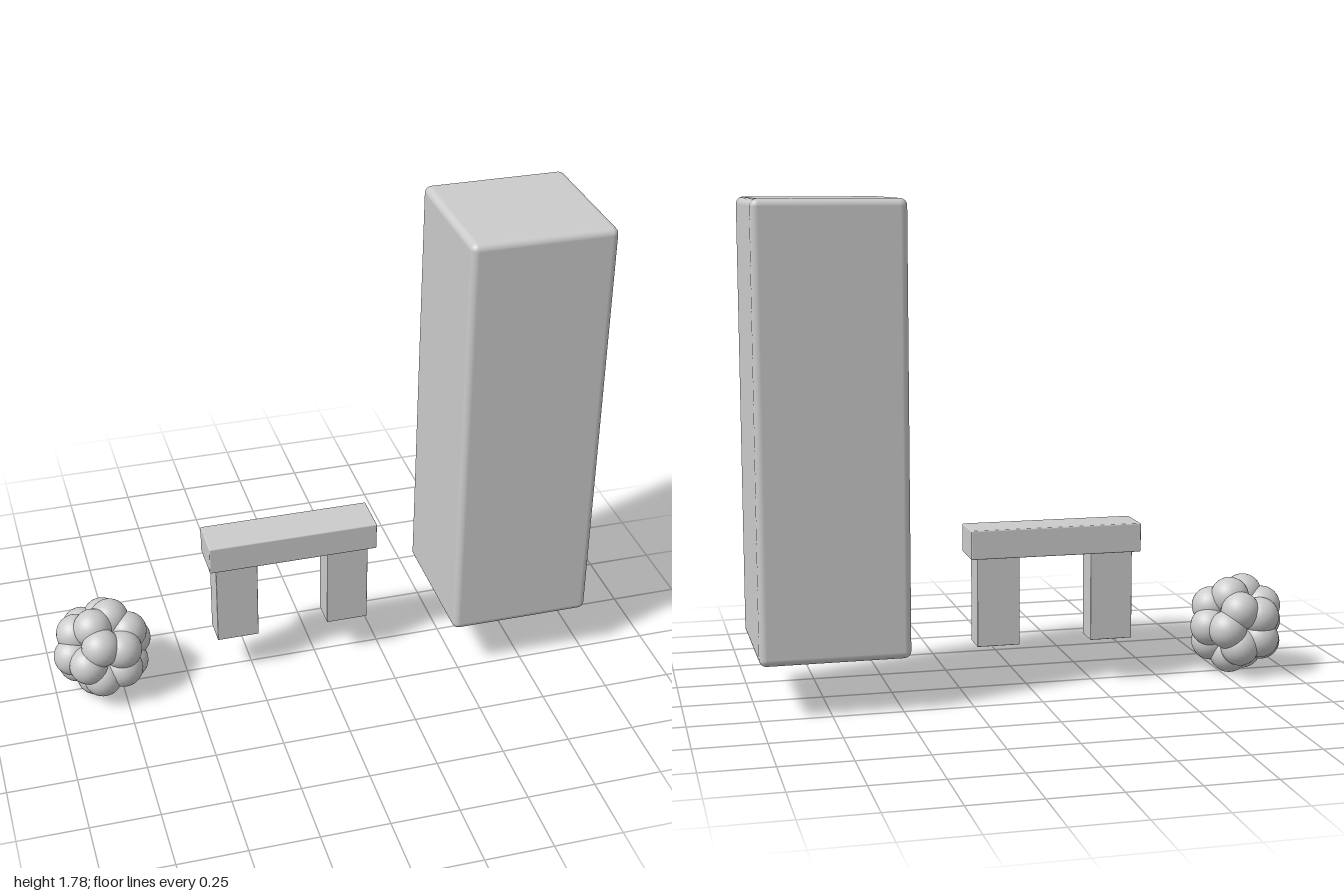
import * as THREE from 'three';
import { RoundedBoxGeometry } from 'three/addons/geometries/RoundedBoxGeometry.js';

const material = new THREE.MeshStandardMaterial({ color: 0xcccccc });

function addPart(parent, name, geometry, x, y, z) {
  const mesh = new THREE.Mesh(geometry, material);
  mesh.name = name;
  mesh.position.set(x, y, z);
  parent.add(mesh);
  return mesh;
}

// Twenty overlapping balls, one at each corner of a dodecahedron
function createBallCluster(spread, radius) {
  const cluster = new THREE.Group();
  cluster.name = 'ballCluster';
  const ball = new THREE.SphereGeometry(radius, 24, 16);
  const phi = (1 + Math.sqrt(5)) / 2;
  const signs = [-1, 1];
  const corners = [];
  for (const a of signs) for (const b of signs) {
    for (const c of signs) corners.push([a, b, c]);
    corners.push([0, a / phi, b * phi], [a / phi, b * phi, 0], [a * phi, 0, b / phi]);
  }
  const k = spread / Math.sqrt(3);
  for (const [x, y, z] of corners) addPart(cluster, 'ball', ball, x * k, y * k, z * k);
  return cluster;
}

export function createModel() {
  const model = new THREE.Group();
  model.name = 'model';

  // Cluster of balls
  const cluster = createBallCluster(0.117, 0.0715);
  cluster.position.set(-0.815, 0.181, 0);
  cluster.rotation.y = 0.6;
  model.add(cluster);

  // Bench: slab on two blocks
  const bench = new THREE.Group();
  bench.name = 'bench';
  bench.position.x = -0.097;
  addPart(bench, 'benchTop', new RoundedBoxGeometry(0.634, 0.106, 0.157, 2, 0.005), 0, 0.542, 0);
  const leg = new RoundedBoxGeometry(0.157, 0.328, 0.106, 2, 0.003);
  for (const side of [-1, 1]) addPart(bench, 'benchLeg', leg, side * 0.212, 0.326, 0);
  model.add(bench);

  // Tall rounded block
  addPart(model, 'tallBlock', new RoundedBoxGeometry(0.528, 1.587, 0.528, 4, 0.026), 0.735, 0.983, 0);

  return model;
}
